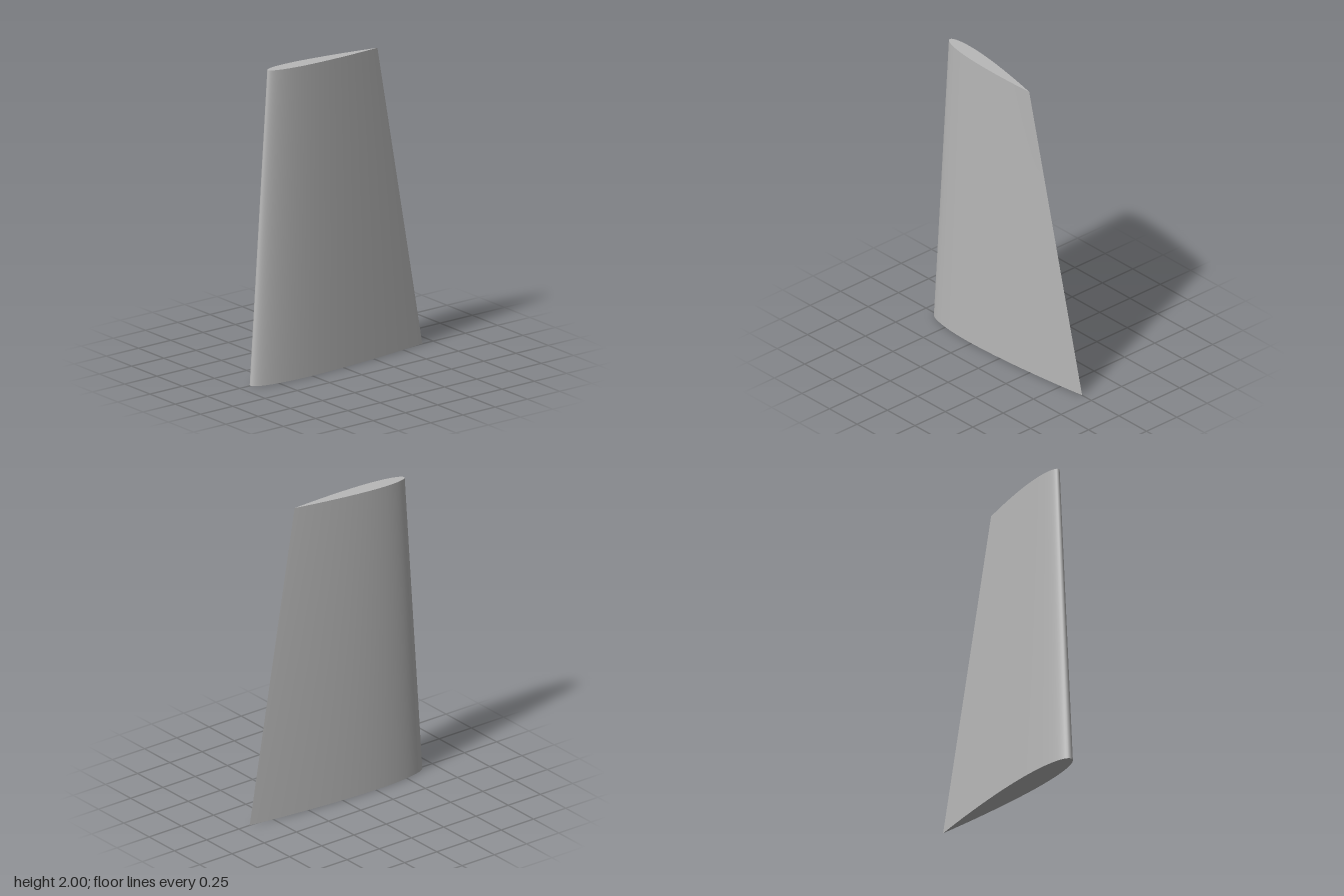
import * as THREE from 'three';

const HALF = 40; // points from leading to trailing edge on each side

// Closed symmetric 12% aerofoil, trailing edge -> back -> leading edge -> front -> trailing edge
function section(chord, leadX, y, twist) {
  const points = [];
  for (let i = 0; i <= 2 * HALF; i++) {
    const angle = (i / HALF) * Math.PI;
    const u = (1 + Math.cos(angle)) / 2;
    const t = 0.6 * (0.2969 * Math.sqrt(u) - 0.126 * u - 0.3516 * u ** 2 + 0.2843 * u ** 3 - 0.1036 * u ** 4);
    const x = u * chord;
    const z = (i < HALF ? -t : t) * chord;
    points.push(new THREE.Vector3(
      leadX + x * Math.cos(twist) - z * Math.sin(twist),
      y,
      x * Math.sin(twist) + z * Math.cos(twist)
    ));
  }
  return points;
}

// Smooth skin between two sections; the seam at the trailing edge stays sharp
function skin(root, tip) {
  const n = root.length;
  const index = [];
  for (let i = 0; i < n - 1; i++) {
    index.push(i, i + 1, n + i + 1, i, n + i + 1, n + i);
  }
  const geometry = new THREE.BufferGeometry().setFromPoints([...root, ...tip]);
  geometry.setIndex(index);
  geometry.computeVertexNormals();
  return geometry;
}

// Flat end cap, filled in strips from the trailing to the leading edge
function cap(points, facesUp) {
  const last = points.length - 1;
  const index = [];
  const add = (a, b, c) => index.push(a, ...(facesUp ? [b, c] : [c, b]));
  for (let i = 0; i < HALF; i++) {
    if (i > 0) add(i, last - i - 1, last - i);
    if (i < HALF - 1) add(i, i + 1, last - i - 1);
  }
  // Close the trailing edge
  add(0, 1, last - 1);
  const geometry = new THREE.BufferGeometry().setFromPoints(points);
  geometry.setIndex(index);
  geometry.computeVertexNormals();
  return geometry;
}

export function createModel() {
  const group = new THREE.Group();
  group.name = 'taperedWing';
  const grey = new THREE.MeshStandardMaterial({ color: 0xb8b8b8 });
  grey.name = 'light grey';

  const root = section(1.333, -0.667, 0, 0);
  const tip = section(0.8, -0.534, 2, THREE.MathUtils.degToRad(5));

  const parts = {
    wingSkin: skin(root, tip),
    rootCap: cap(root, false),
    tipCap: cap(tip, true),
  };
  for (const [name, geometry] of Object.entries(parts)) {
    const mesh = new THREE.Mesh(geometry, grey);
    mesh.name = name;
    group.add(mesh);
  }
  return group;
}
